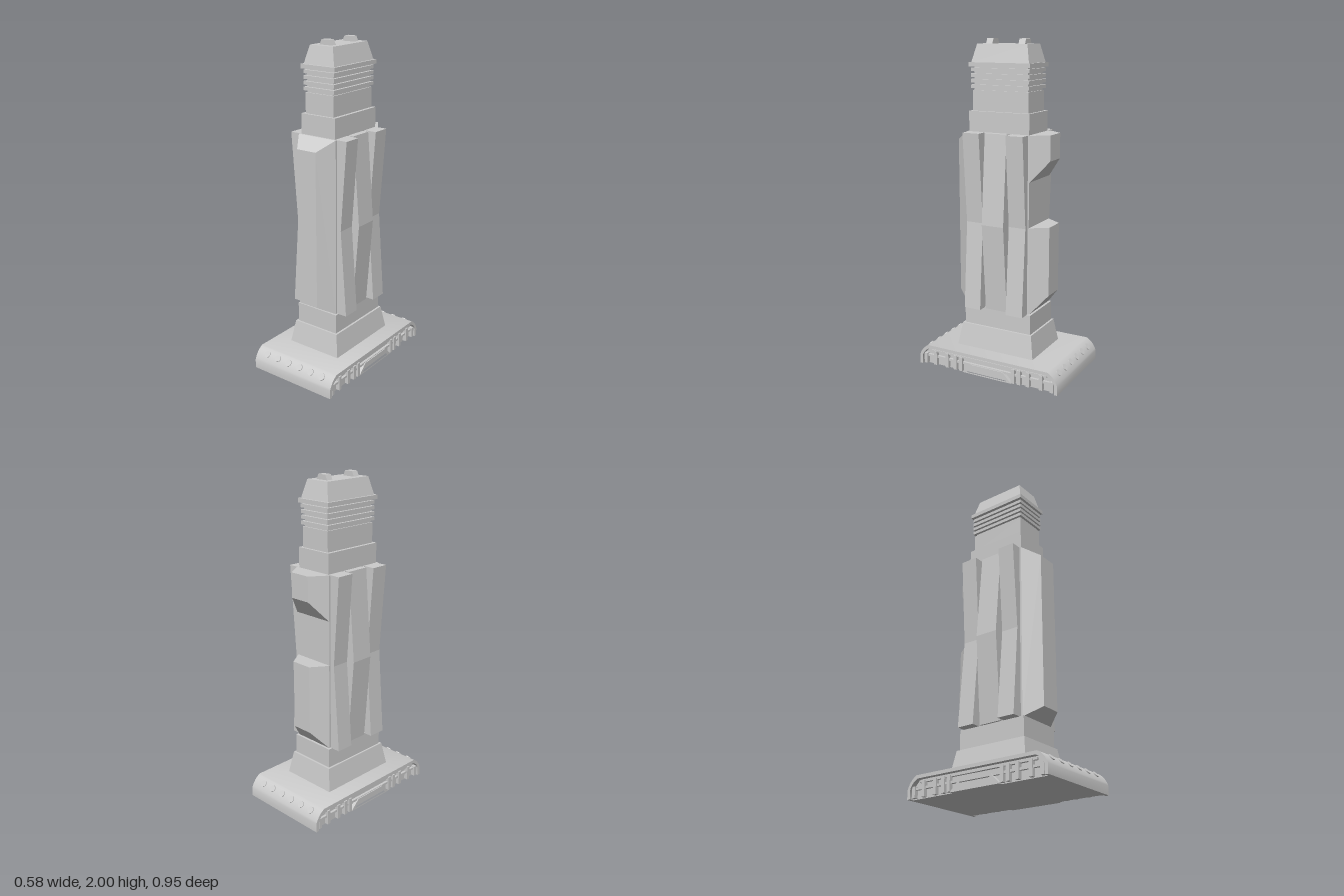
import * as THREE from 'three';
import { toCreasedNormals } from 'three/addons/utils/BufferGeometryUtils.js';
import { ConvexGeometry } from 'three/addons/geometries/ConvexGeometry.js';

const grey = new THREE.MeshStandardMaterial({ color: 0xcccccc });

export function createModel() {
  const model = new THREE.Group();

  const add = (name, geometry) => {
    const mesh = new THREE.Mesh(geometry, grey);
    mesh.name = name;
    model.add(mesh);
    return mesh;
  };

  // Box given by half width, half depth and its height range
  const tier = (name, x, z, y0, y1, cx = 0, cz = 0) =>
    add(name, new THREE.BoxGeometry(2 * x, y1 - y0, 2 * z)).position.set(cx, (y0 + y1) / 2, cz);

  // Convex solid from corner triples
  const solid = (name, corners) =>
    add(name, new ConvexGeometry(corners.map((c) => new THREE.Vector3(...c))));

  // Rectangular frustum between two heights
  const taper = (name, x0, z0, y0, x1, z1, y1, cz = 0) => {
    const corners = [];
    for (const sx of [-1, 1]) for (const sz of [-1, 1]) {
      corners.push([sx * x0, y0, cz + sz * z0], [sx * x1, y1, cz + sz * z1]);
    }
    solid(name, corners);
  };

  // Side profile (z, y) extruded across x, centred
  const acrossX = (name, shape, halfWidth, cx = 0) => {
    const g = new THREE.ExtrudeGeometry(shape, { depth: 2 * halfWidth, bevelEnabled: false, curveSegments: 8 });
    g.translate(0, 0, -halfWidth).rotateY(-Math.PI / 2).translate(cx, 0, 0);
    return add(name, toCreasedNormals(g, 0.6));
  };

  // Front profile (x, y) extruded along z
  const alongZ = (name, points, z0, z1) => {
    const shape = new THREE.Shape(points.map((p) => new THREE.Vector2(...p)));
    const g = new THREE.ExtrudeGeometry(shape, { depth: z1 - z0, bevelEnabled: false });
    add(name, g.translate(0, 0, z0));
  };

  // Base: rounded outer shell, open at the sides, around a recessed core
  const shell = new THREE.Shape();
  shell.moveTo(-0.475, 0);
  shell.lineTo(-0.475, 0.055);
  shell.quadraticCurveTo(-0.455, 0.11, -0.41, 0.13);
  shell.lineTo(0.41, 0.13);
  shell.quadraticCurveTo(0.455, 0.11, 0.475, 0.055);
  shell.lineTo(0.475, 0);
  shell.lineTo(0.455, 0);
  shell.lineTo(0.455, 0.055);
  shell.quadraticCurveTo(0.44, 0.095, 0.4, 0.11);
  shell.lineTo(-0.4, 0.11);
  shell.quadraticCurveTo(-0.44, 0.095, -0.455, 0.055);
  shell.lineTo(-0.455, 0);
  acrossX('baseShell', shell, 0.292);

  const core = new THREE.Shape();
  core.moveTo(-0.46, 0);
  core.lineTo(-0.46, 0.055);
  core.lineTo(-0.405, 0.115);
  core.lineTo(0.405, 0.115);
  core.lineTo(0.46, 0.055);
  core.lineTo(0.46, 0);
  acrossX('baseCore', core, 0.262);

  // Side rails, ribs and hatch on the base
  const hatch = new THREE.Shape([[-0.17, 0], [-0.11, 0.06], [0.11, 0.06], [0.17, 0]].map((p) => new THREE.Vector2(...p)));
  hatch.holes.push(new THREE.Path([[-0.135, 0.008], [-0.1, 0.048], [0.1, 0.048], [0.135, 0.008]].map((p) => new THREE.Vector2(...p))));
  for (const s of [-1, 1]) {
    tier('baseRailUpper', 0.01, 0.4, 0.088, 0.1, s * 0.268);
    tier('baseRailLower', 0.01, 0.445, 0.05, 0.064, s * 0.268);
    for (const z of [0.18, 0.22, 0.28, 0.365, 0.435]) {
      for (const e of [-1, 1]) tier('baseRib', 0.014, 0.011, 0.005, z > 0.4 ? 0.07 : 0.095, s * 0.272, e * z);
    }
    acrossX('baseHatch', hatch, 0.012, s * 0.272);
  }

  // Rivets on both rounded ends
  for (const s of [-1, 1]) {
    for (let i = 0; i < 6; i++) {
      const rivet = add('rivet', new THREE.CylinderGeometry(0.02, 0.02, 0.02, 20));
      rivet.position.set(-0.215 + i * 0.085, 0.1, s * 0.442);
      rivet.rotation.x = s * 0.85;
    }
  }

  // Pedestal
  taper('pedestalFoot', 0.182, 0.26, 0.13, 0.158, 0.237, 0.27);
  tier('pedestalNeck', 0.145, 0.225, 0.27, 0.392);

  // Main body
  const y0 = 0.39, y1 = 1.465, mid = 0.925;
  tier('bodyCore', 0.133, 0.205, y0, y1 - 0.002);

  // Side panels: strips pinch in at mid height, the centre one swells out
  for (const s of [-1, 1]) {
    const strip = [[0.1, y0], [0.2, y0], [0.16, mid], [0.2, y1], [0.1, y1]].map(([x, y]) => [s * x, y]);
    alongZ('sideStripFront', strip, 0.088, 0.197);
    alongZ('sideStripBack', strip, -0.197, -0.088);
    const bulge = [[0.1, y0], [0.157, y0], [0.2, mid], [0.157, y1], [0.1, y1]].map(([x, y]) => [s * x, y]);
    alongZ('sideCentrePanel', bulge, -0.072, 0.072);
  }

  // Raised panel: wide inner rectangle to narrow outer rectangle
  const raised = (name, dir, inLow, inHigh, outLow, outHigh) => {
    const corners = [];
    for (const s of [-1, 1]) {
      for (const y of [inLow, inHigh]) corners.push([s * 0.133, y, dir * 0.195], [s * 0.133, y, dir * 0.208]);
      for (const y of [outLow, outHigh]) corners.push([s * 0.066, y, dir * 0.306]);
    }
    solid(name, corners);
  };
  raised('frontPanel', 1, y0, y1, 0.45, 1.405);
  raised('backPanelUpper', -1, 1.195, y1, 1.315, y1);
  raised('backPanelLower', -1, y0, mid, 0.505, mid);

  // Upper tower with stacked fins
  tier('shoulder', 0.12, 0.198, y1 - 0.01, 1.585);
  tier('upperBlock', 0.1, 0.183, 1.585, 1.705);
  tier('finCore', 0.092, 0.175, 1.705, 1.845);
  for (let i = 0; i < 4; i++) tier('fin', 0.108, 0.19, 1.717 + i * 0.032, 1.737 + i * 0.032);
  tier('capPlate', 0.12, 0.2, 1.84, 1.865);
  taper('cap', 0.107, 0.187, 1.865, 0.08, 0.163, 1.97);
  for (const z of [-0.107, 0.105]) taper('topKnob', 0.041, 0.021, 1.97, 0.027, 0.021, 2, z);

  return model;
}
